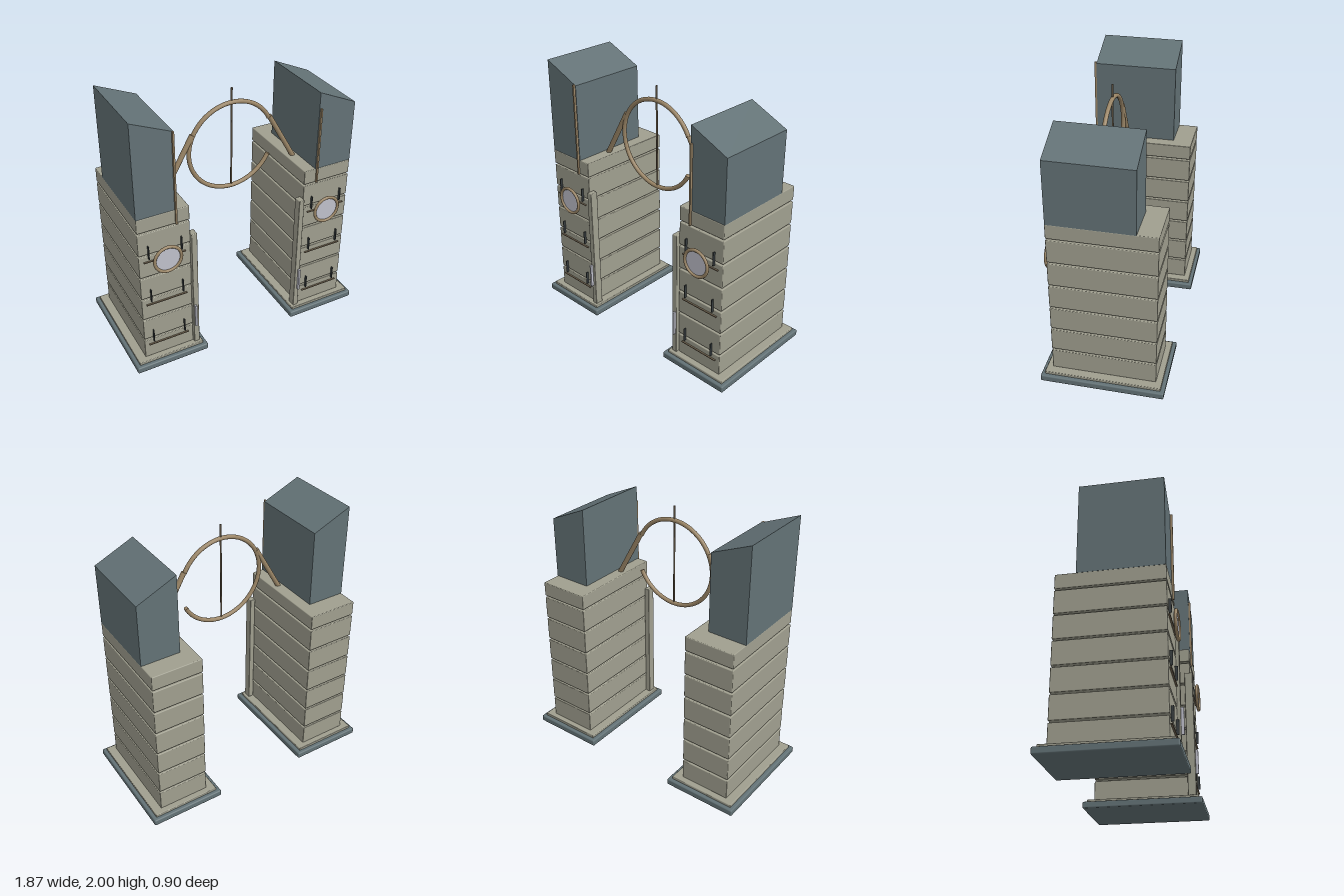
import * as THREE from 'three';
import { RoundedBoxGeometry } from 'three/addons/geometries/RoundedBoxGeometry.js';

const mat = (name, color) => {
  const m = new THREE.MeshStandardMaterial({ color });
  m.name = name;
  return m;
};

export function createModel() {
  const stone = mat('warm grey stone', 0xa09f8f);
  const slate = mat('blue grey slate', 0x637276);
  const bronze = mat('bronze', 0x9a8566);
  const darkBronze = mat('dark bronze', 0x6f624f);
  const iron = mat('dark iron', 0x353b3d);
  const glass = mat('pale glass', 0xc0c1cc);

  const model = new THREE.Group();
  model.name = 'gateway';

  const add = (parent, name, geometry, material, x = 0, y = 0, z = 0) => {
    const mesh = new THREE.Mesh(geometry, material);
    mesh.name = name;
    mesh.position.set(x, y, z);
    parent.add(mesh);
    return mesh;
  };
  // Box given by its lower and upper limits, optionally with softened edges
  const box = (parent, name, material, [x0, x1], [y0, y1], [z0, z1], r = 0) => {
    const size = [x1 - x0, y1 - y0, z1 - z0];
    const geo = r ? new RoundedBoxGeometry(...size, 2, r) : new THREE.BoxGeometry(...size);
    return add(parent, name, geo, material, (x0 + x1) / 2, (y0 + y1) / 2, (z0 + z1) / 2);
  };
  const span = (s, a, b) => (s > 0 ? [a, b] : [-b, -a]);

  // s is the side; outer and inner are the heights of the sloping shaft top
  function tower(s, name, inner, outer, rodTop) {
    const g = new THREE.Group();
    g.name = name;
    model.add(g);

    // Stepped foot
    box(g, 'basePlate', slate, span(s, 0.365, 0.935), [0, 0.05], [-0.45, 0.45], 0.01);
    box(g, 'plinth', stone, span(s, 0.395, 0.908), [0.048, 0.072], [-0.423, 0.423], 0.006);

    // Stacked courses with open joints
    for (let i = 0; i < 7; i++) {
      const y = 0.055 + i * 0.1875;
      box(g, 'stoneCourse', stone, span(s, 0.458, 0.845),
        [i ? y : 0.07, i === 6 ? 1.29 : y + 0.174], [-0.38, 0.38], 0.006);
    }

    // Shaft with a sloping top
    const shape = new THREE.Shape([
      new THREE.Vector2(s * 0.548, 1.288), new THREE.Vector2(s * 0.845, 1.288),
      new THREE.Vector2(s * 0.845, outer), new THREE.Vector2(s * 0.548, inner),
    ]);
    add(g, 'shaft', new THREE.ExtrudeGeometry(shape, { depth: 0.61, bevelEnabled: false }),
      slate, 0, 0, -0.233);
    box(g, 'shaftRod', bronze, span(s, 0.553, 0.565), [1.18, rodTop], [0.377, 0.394]);

    // Corner post with a narrow light
    box(g, 'cornerPost', stone, span(s, 0.414, 0.457), [0.07, 1.062], [0.34, 0.403], 0.006);
    box(g, 'narrowLight', glass, span(s, 0.437, 0.451), [0.24, 0.43], [0.402, 0.424]);

    // Thin bars and pins on the front
    for (let i = 0; i < 3; i++) {
      const y = 0.185 + i * 0.375;
      box(g, 'frontBar', darkBronze, span(s, 0.498, 0.81), [y - 0.003, y + 0.003], [0.379, 0.393]);
      for (const x of [0.528, 0.774]) {
        box(g, 'frontPin', iron, span(s, x - 0.003, x + 0.003), [y + 0.027, y + 0.13], [0.379, 0.4]);
      }
    }

    // Round window
    add(g, 'windowRim', new THREE.TorusGeometry(0.1, 0.0115, 12, 48), bronze, s * 0.645, 0.935, 0.419);
    add(g, 'windowPane', new THREE.CylinderGeometry(0.098, 0.098, 0.012, 48).rotateX(Math.PI / 2),
      glass, s * 0.645, 0.935, 0.412);
  }
  tower(-1, 'rightTower', 1.873, 2.0, 1.88);
  tower(1, 'leftTower', 1.892, 1.757, 1.77);

  // Open ring held between the towers
  const arch = new THREE.Group();
  arch.name = 'ringArch';
  arch.position.z = 0.12;
  model.add(arch);
  const gap = THREE.MathUtils.degToRad(26);
  const R = 0.331, cy = 1.505;
  const ring = add(arch, 'openRing',
    new THREE.TorusGeometry(R, 0.016, 12, 80, 2 * Math.PI - 2 * gap), bronze, 0, cy, 0);
  ring.rotation.z = gap;

  // Flat end of the ring
  const cap = add(arch, 'ringEnd', new THREE.CylinderGeometry(0.016, 0.016, 0.004, 12), bronze,
    R * Math.cos(gap), cy - R * Math.sin(gap), 0);
  cap.rotation.z = -gap;

  // Slanting struts
  for (const s of [-1, 1]) {
    const path = new THREE.LineCurve3(
      new THREE.Vector3(s * 0.302, 1.66, 0), new THREE.Vector3(s * 0.52, 1.275, 0));
    const strut = add(arch, 'strut',
      new THREE.CylinderGeometry(0.019, 0.019, path.getLength(), 12), bronze);
    strut.position.copy(path.getPoint(0.5));
    strut.quaternion.setFromUnitVectors(new THREE.Vector3(0, 1, 0), path.getTangent(0).negate());
  }

  // Upright needle through the ring
  add(arch, 'needle', new THREE.CylinderGeometry(0.007, 0.007, 0.775, 10), darkBronze, 0, 1.557, 0);

  return model;
}
